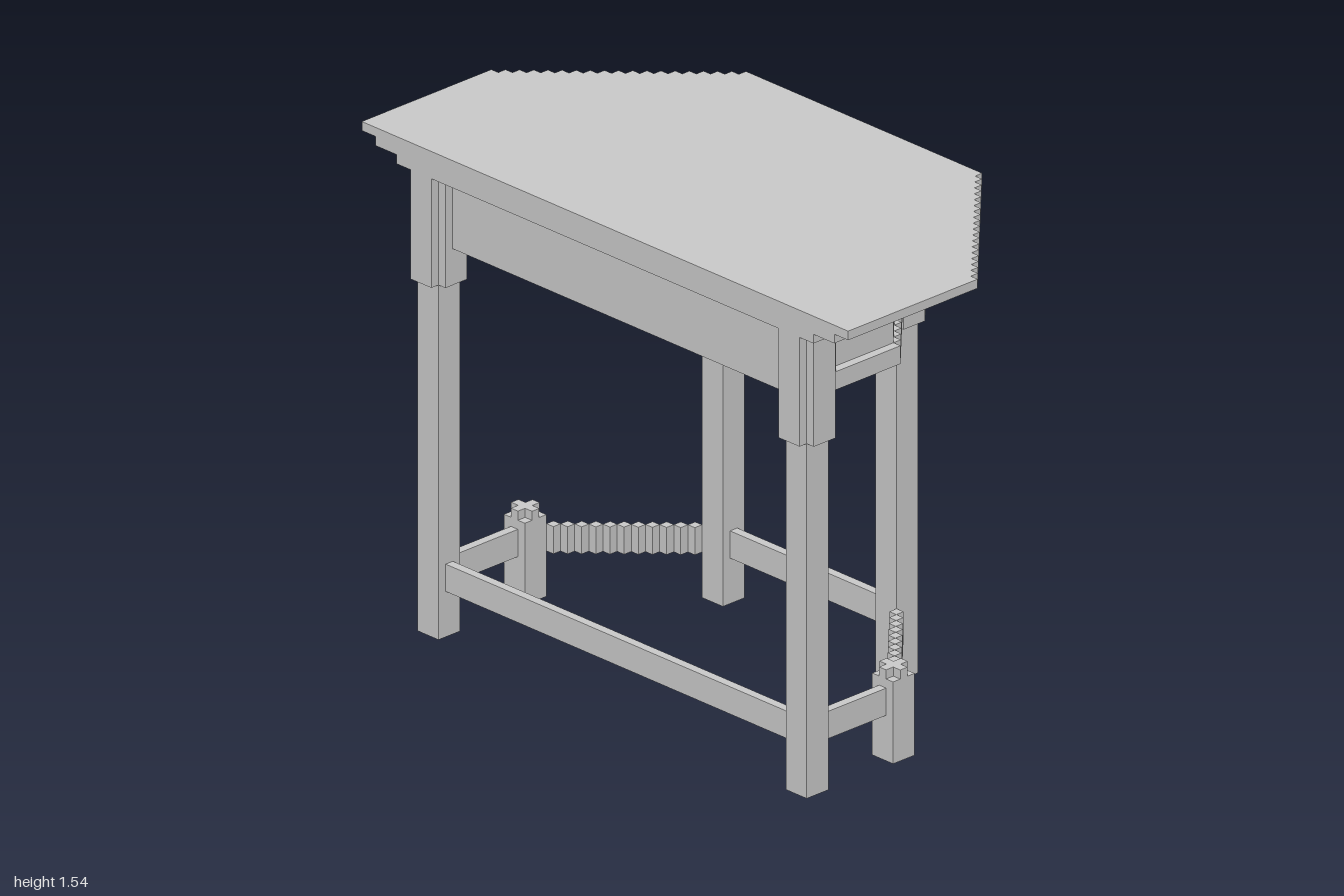
import * as THREE from 'three';

const U = 2 / 70; // one block; the table is 70 blocks long
const material = new THREE.MeshStandardMaterial({ color: 0xcccccc, flatShading: true });

// Box given by its limits in blocks
function block(parent, name, x0, x1, y0, y1, z0, z1) {
  const mesh = new THREE.Mesh(
    new THREE.BoxGeometry((x1 - x0) * U, (y1 - y0) * U, Math.abs(z1 - z0) * U), material);
  mesh.position.set((x0 + x1) / 2 * U, (y0 + y1) / 2 * U, (z0 + z1) / 2 * U);
  mesh.name = name;
  parent.add(mesh);
}

// Upright prism from a plan outline of [x, z] points
function prism(parent, name, plan, y0, y1) {
  const shape = new THREE.Shape(plan.map(([x, z]) => new THREE.Vector2(x * U, -z * U)));
  const geo = new THREE.ExtrudeGeometry(shape, { depth: (y1 - y0) * U, bevelEnabled: false });
  geo.rotateX(-Math.PI / 2);
  const mesh = new THREE.Mesh(geo, material);
  mesh.position.y = y0 * U;
  mesh.name = name;
  parent.add(mesh);
}

// Half-hexagon plan whose slanted sides are stepped
function steppedPlan(xStart, xEnd, zMax) {
  const side = [[-18, zMax], [xStart, zMax]];
  for (let x = xStart, z = zMax - 1; x < xEnd; x++, z--) side.push([x, z], [x + 1, z]);
  return [...side, ...side.map(([x, z]) => [x, -z]).reverse()];
}

// Plus-shaped plan, arms of the given half length and half width
function plusPlan(cx, cz, r, w) {
  return [[r, -w], [r, w], [w, w], [w, r], [-w, r], [-w, w], [-r, w], [-r, -w],
    [-w, -w], [-w, -r], [w, -r], [w, -w]].map(([x, z]) => [cx + x, cz + z]);
}

export function createModel() {
  const table = new THREE.Group();
  table.name = 'table';
  const part = (name) => {
    const g = new THREE.Group();
    g.name = name;
    table.add(g);
    return g;
  };

  // Top board over two smaller mouldings, all flush at the back
  const top = part('tableTop');
  prism(top, 'topBoard', steppedPlan(0, 18, 35), 53, 54);
  prism(top, 'upperMoulding', steppedPlan(-1, 16, 33), 52, 53);
  prism(top, 'lowerMoulding', steppedPlan(-1, 14, 30), 51, 52);

  // Four legs with plus-shaped heads
  const legs = part('legs');
  for (const s of [1, -1]) {
    for (const [name, x, z] of [['backLeg', -15.5, 26.5], ['frontLeg', 10.5, 12.5]]) {
      block(legs, name, x - 1.5, x + 1.5, 0, 39, s * (z - 1.5), s * (z + 1.5));
      prism(legs, name + 'Head', plusPlan(x, s * z, 2.5, 1.5), 39, 51);
    }
  }

  // Hollow apron: rails, stiles and recessed panels
  const apron = part('apron');
  const rails = [[43, 45], [49, 51]];
  block(apron, 'backApron', -16, -15, 43, 51, -25, 25);
  block(apron, 'frontPanel', 9, 10, 45, 49, -13, 13);
  for (const [y0, y1] of rails) block(apron, 'frontRail', 9, 11, y0, y1, -13, 13);
  for (const s of [1, -1]) {
    block(apron, 'frontStile', 10, 11, 45, 49, s * 9, s * 13);
    block(apron, 'endPanel', -13, -3, 45, 49, s * 25, s * 26);
    block(apron, 'endStile', -15, -12, 45, 49, s * 25, s * 27);
    for (const [y0, y1] of rails) block(apron, 'endRail', -15, -3, y0, y1, s * 25, s * 27);
    // Slanted side in steps
    for (let x = -3; x < 9; x++) {
      const z = 23 - x;
      for (const [y0, y1] of rails) block(apron, 'slantedRail', x, x + 1, y0, y1, s * (z - 2), s * z);
      block(apron, 'slantedPanel', x, x + 1, 45, 49, s * (z - 2), s * (x < 7 ? z - 1 : z));
    }
  }

  // Low stretchers, with short posts at the bends
  const base = part('stretchers');
  block(base, 'backStretcher', -16, -15, 5, 8, -25, 25);
  block(base, 'frontStretcher', 10, 11, 5, 8, -11, 11);
  for (const s of [1, -1]) {
    block(base, 'endStretcher', -14, -5, 5, 8, s * 26, s * 27);
    block(base, 'shortPost', -5, -2, 0, 9, s * 25, s * 28);
    prism(base, 'postCross', plusPlan(-3.5, s * 26.5, 1.5, 0.5), 9, 10);
    for (let x = -3; x < 11; x++) {
      block(base, 'slantedStretcher', x, x + 1, 5, 8, s * (22 - x), s * (23 - x));
    }
  }
  return table;
}
